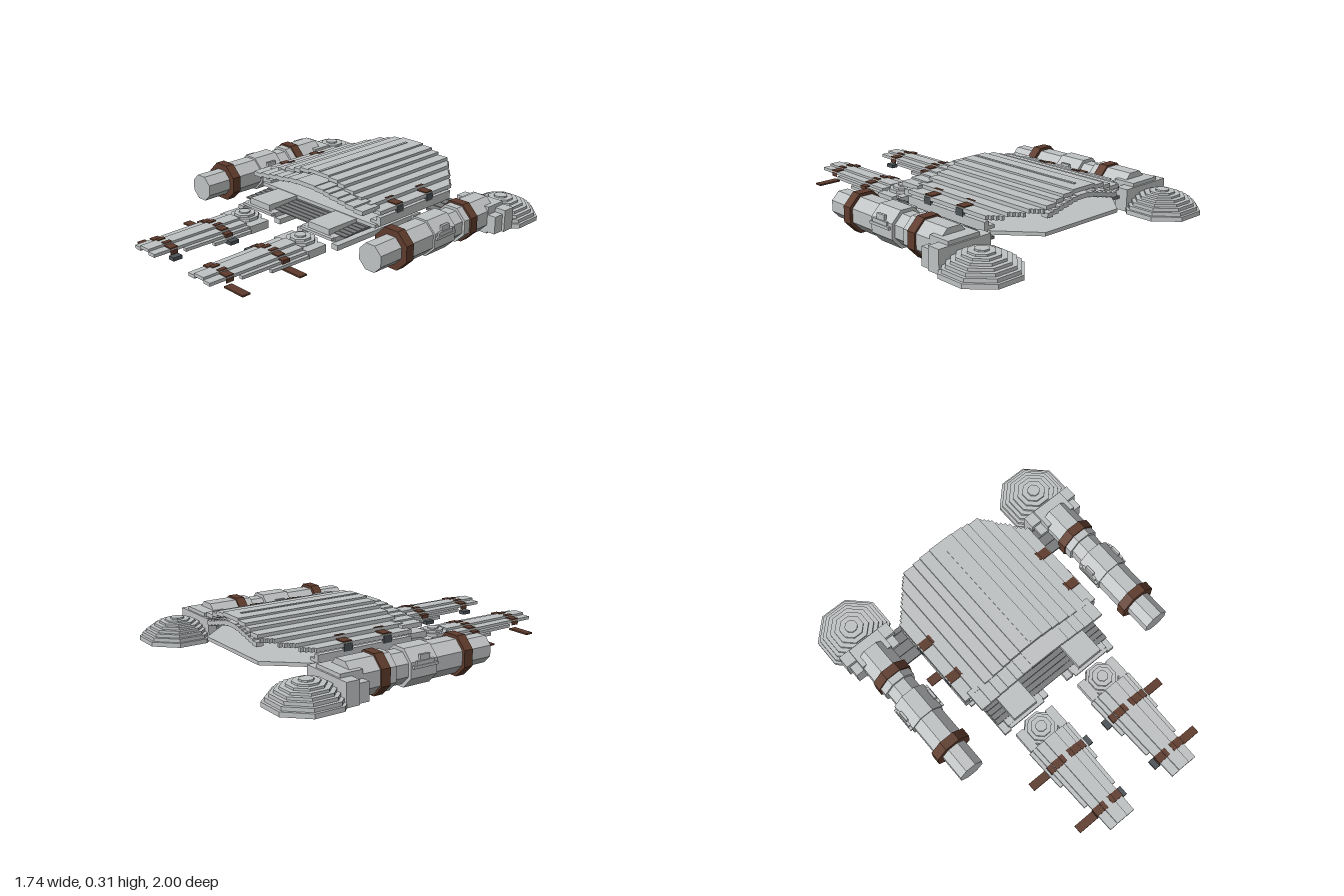
import * as THREE from 'three';

const mat = (name, color) => {
  const m = new THREE.MeshStandardMaterial({ color });
  m.name = name;
  return m;
};

export function createModel() {
  const steel = mat('steel', 0xc0c3c4);
  const mail = mat('darkMail', 0x797b7c);
  const leather = mat('leather', 0x5e3b2c);
  const buckle = mat('buckleIron', 0x4c5256);
  const model = new THREE.Group();

  const group = name => {
    const g = new THREE.Group();
    g.name = name;
    model.add(g);
    return g;
  };
  const add = (parent, name, geo, m) => {
    const mesh = new THREE.Mesh(geo, m);
    mesh.name = name;
    parent.add(mesh);
    return mesh;
  };
  // Box given by its limits on each axis
  const box = (parent, name, x0, x1, y0, y1, z0, z1, m = steel) => {
    const geo = new THREE.BoxGeometry(Math.abs(x1 - x0), y1 - y0, z1 - z0);
    geo.translate((x0 + x1) / 2, (y0 + y1) / 2, (z0 + z1) / 2);
    return add(parent, name, geo, m);
  };
  // Flat-faced octagonal prism, r measured to the flat sides
  const octagon = (r, len) => {
    const R = r / Math.cos(Math.PI / 8);
    const geo = new THREE.CylinderGeometry(R, R, len, 8).rotateY(Math.PI / 8).toNonIndexed();
    geo.computeVertexNormals();
    return geo;
  };
  const tube = (parent, name, x, y, r, z0, z1, m = steel) => {
    const geo = octagon(r, z1 - z0).rotateX(Math.PI / 2);
    geo.translate(x, y, (z0 + z1) / 2);
    return add(parent, name, geo, m);
  };
  // Stepped dome from stacked octagons: steps are [radius, top height]
  const dome = (parent, name, x, z, y0, steps) => {
    let y = y0;
    for (const [r, top] of steps) {
      const geo = octagon(r, top - y);
      geo.translate(x, (y + top) / 2, z);
      add(parent, name, geo, steel);
      y = top;
    }
  };

  // Breastplate: open arch of slats with chamfered shoulders
  const chest = group('breastplate');
  const backZ = x => (x <= 0.27 ? -0.82 : -0.82 + (x - 0.27) * 1.1);
  const arch = [[0, 0.08, 0.31], [0.08, 0.15, 0.3], [0.15, 0.2, 0.285], [0.2, 0.27, 0.268],
    [0.27, 0.33, 0.25], [0.33, 0.4, 0.23], [0.4, 0.47, 0.21]];
  for (const s of [-1, 1]) {
    for (const [a, b, y] of arch) {
      const n = b > 0.27 ? 4 : 1;
      for (let i = 0; i < n; i++) {
        const p = a + (b - a) * i / n, q = a + (b - a) * (i + 1) / n;
        box(chest, 'chestSlat', s * p, s * q, y - 0.022, y, backZ((p + q) / 2), -0.02);
      }
      // Flatter arches for the waist lip and the collar
      const low = 0.272 - (0.31 - y) * 0.45;
      box(chest, 'waistLipSlat', s * a * 0.92, s * b * 0.92, low - 0.025, low, -0.05, 0.08);
      box(chest, 'collarSlat', s * a * 0.55, s * b * 0.55, low - 0.025, low, -0.82, -0.78);
    }
    // Side straps and buckles
    for (const z of [-0.42, -0.175]) {
      box(chest, 'sideStrap', s * 0.4, s * 0.465, 0.208, 0.216, z - 0.027, z + 0.027, leather);
      box(chest, 'sideStrapStep', s * 0.385, s * 0.4, 0.228, 0.233, z - 0.027, z + 0.027, leather);
      box(chest, 'sideBuckle', s * 0.455, s * 0.473, 0.165, 0.205, z - 0.025, z + 0.025, buckle);
    }
    box(chest, 'looseStrap', s * 0.42, s * 0.53, 0.024, 0.033, -0.315, -0.262, leather);
  }
  box(chest, 'centreRidge', -0.008, 0.008, 0.31, 0.314, -0.76, -0.03);

  // Backplate: flat floor under the arch, with raised side flanges
  const back = group('backplate');
  const outline = new THREE.Shape([[-0.45, 0], [0.45, 0], [0.45, 0.62], [0.27, 0.82], [-0.27, 0.82], [-0.45, 0.62]]
    .map(([x, y]) => new THREE.Vector2(x, y)));
  const floor = new THREE.ExtrudeGeometry(outline, { depth: 0.02, bevelEnabled: false });
  floor.rotateX(-Math.PI / 2).translate(0, 0.113, 0);
  add(back, 'backplateFloor', floor, steel);
  for (const s of [-1, 1]) {
    box(back, 'sideFlange', s * 0.4, s * 0.47, 0.125, 0.15, -0.6, -0.02);
    box(back, 'sideFlangeRim', s * 0.44, s * 0.47, 0.15, 0.175, -0.6, -0.02);
  }

  // Mail skirt in thin rows, and sleeve patches
  const skirt = group('mailSkirt');
  for (let i = 0; i < 6; i++) {
    const z = -0.02 + i * 0.032;
    box(skirt, 'mailRow', -0.4, 0.4, 0.098 - i * 0.001, 0.11 - i * 0.002, z, z + 0.03, mail);
  }

  for (const s of [-1, 1]) {
    const side = s > 0 ? 'left' : 'right';
    for (let i = 0; i < 7; i++) {
      const z = -0.64 + i * 0.03;
      box(skirt, 'mailSleeveRow', s * 0.44, s * 0.58, 0.095, 0.11 - (i % 2) * 0.003, z, z + 0.029, mail);
    }

    // Thigh guard slats
    const thigh = group(side + 'ThighGuard');
    const tx = s * 0.235;
    box(thigh, 'thighCentreSlat', tx - 0.08, tx + 0.08, 0.095, 0.13, -0.45, 0.21);
    for (const t of [-1, 1]) {
      box(thigh, 'thighSlat', tx + t * 0.075, tx + t * 0.125, 0.068, 0.096, -0.45, 0.21);
      box(thigh, 'thighSlat', tx + t * 0.12, tx + t * 0.165, 0.04, 0.07, -0.42, t === s ? 0.23 : 0.21);
    }
    box(thigh, 'thighHem', tx - 0.12, tx + 0.12, 0.08, 0.095, 0.17, 0.23);

    // Arm guard: shoulder dome, cuff, octagonal tubes
    const arm = group(side + 'ArmGuard');
    const ax = s * 0.675;
    dome(arm, 'shoulderDome', ax, -0.8, 0.03, [[0.197, 0.055], [0.182, 0.075], [0.163, 0.093], [0.142, 0.108],
      [0.118, 0.122], [0.092, 0.134], [0.065, 0.144], [0.035, 0.153]]);
    box(arm, 'shoulderCuff', ax - 0.165, ax + 0.165, 0.03, 0.155, -0.69, -0.615);
    box(arm, 'shoulderCuffRim', ax - 0.15, ax + 0.15, 0.03, 0.13, -0.62, -0.55);
    box(arm, 'cuffTop', ax - 0.1, ax + 0.1, 0.02, 0.175, -0.68, -0.55);
    tube(arm, 'upperArm', ax, 0.11, 0.097, -0.61, -0.35);
    tube(arm, 'upperArmEnd', ax, 0.11, 0.082, -0.35, -0.25);
    tube(arm, 'elbow', ax, 0.11, 0.1, -0.265, -0.1);
    tube(arm, 'forearm', ax, 0.11, 0.09, -0.1, 0.1);
    tube(arm, 'wrist', ax, 0.11, 0.073, 0.1, 0.28);
    // Stepped elbow fan on both cheeks
    for (const t of [-1, 1])
      [[0.075, 0.12, 0.135], [0.055, 0.135, 0.155], [0.03, 0.155, 0.185]].forEach(([w, y0, y1]) =>
        box(arm, 'elbowFan', ax + t * 0.09, ax + t * (0.118 - (y1 - 0.12) * 0.2), y0, y1, -0.18 - w, -0.18 + w));
    for (const z of [-0.42, 0.1]) tube(arm, 'armStrap', ax, 0.11, 0.107, z - 0.027, z + 0.027, leather);

    // Greave: knee dome, tapering slats, straps
    const greave = group(side + 'Greave');
    const gx = s * 0.225;
    dome(greave, 'kneeDome', gx, 0.33, 0.03, [[0.095, 0.05], [0.09, 0.075], [0.075, 0.092], [0.055, 0.105], [0.03, 0.113]]);
    for (const t of [-1, 1])
      box(greave, 'kneeWing', gx + t * 0.08, gx + t * 0.13, 0.03, 0.075, 0.27, 0.4);
    const slats = [[0, 0.04, 0.1, 1], [0.04, 0.095, 0.087, 1], [0.095, 0.12, 0.072, 0.82], [0.12, 0.142, 0.057, 0.65]];
    for (const t of [-1, 1]) for (const [a, b, y, end] of slats) {
      const slat = box(greave, 'shinSlat', gx + t * a, gx + t * b, y - 0.018, y, 0.4, end);
      // Narrow toward the ankle
      const p = slat.geometry.attributes.position;
      for (let i = 0; i < p.count; i++)
        p.setX(i, gx + (p.getX(i) - gx) * (1 - 0.12 * (p.getZ(i) - 0.4) / 0.6));
    }
    for (const [z, w, tail] of [[0.545, 0.125, 0.475], [0.88, 0.09, 0.435]]) {
      const z0 = z - 0.024, z1 = z + 0.024;
      for (const t of [-1, 1]) {
        box(greave, 'shinStrap', gx + t * 0.015, gx + t * 0.04, 0.1, 0.105, z0, z1, leather);
        box(greave, 'shinStrap', gx + t * 0.035, gx + t * 0.09, 0.085, 0.093, z0, z1, leather);
        box(greave, 'shinStrap', gx + t * 0.088, gx + t * w, 0.055, 0.078, z0, z1, leather);
      }
      box(greave, 'strapTail', gx + s * (w - 0.02), s * tail, 0.024, 0.033, z0, z1, leather);
      const bx = gx - s * w;
      box(greave, 'shinBuckle', bx + s * 0.01, bx - s * (z < 0.7 ? 0.045 : 0.03), 0.03, 0.05, z0 - 0.004, z1 + 0.004, buckle);
    }
  }
  return model;
}
